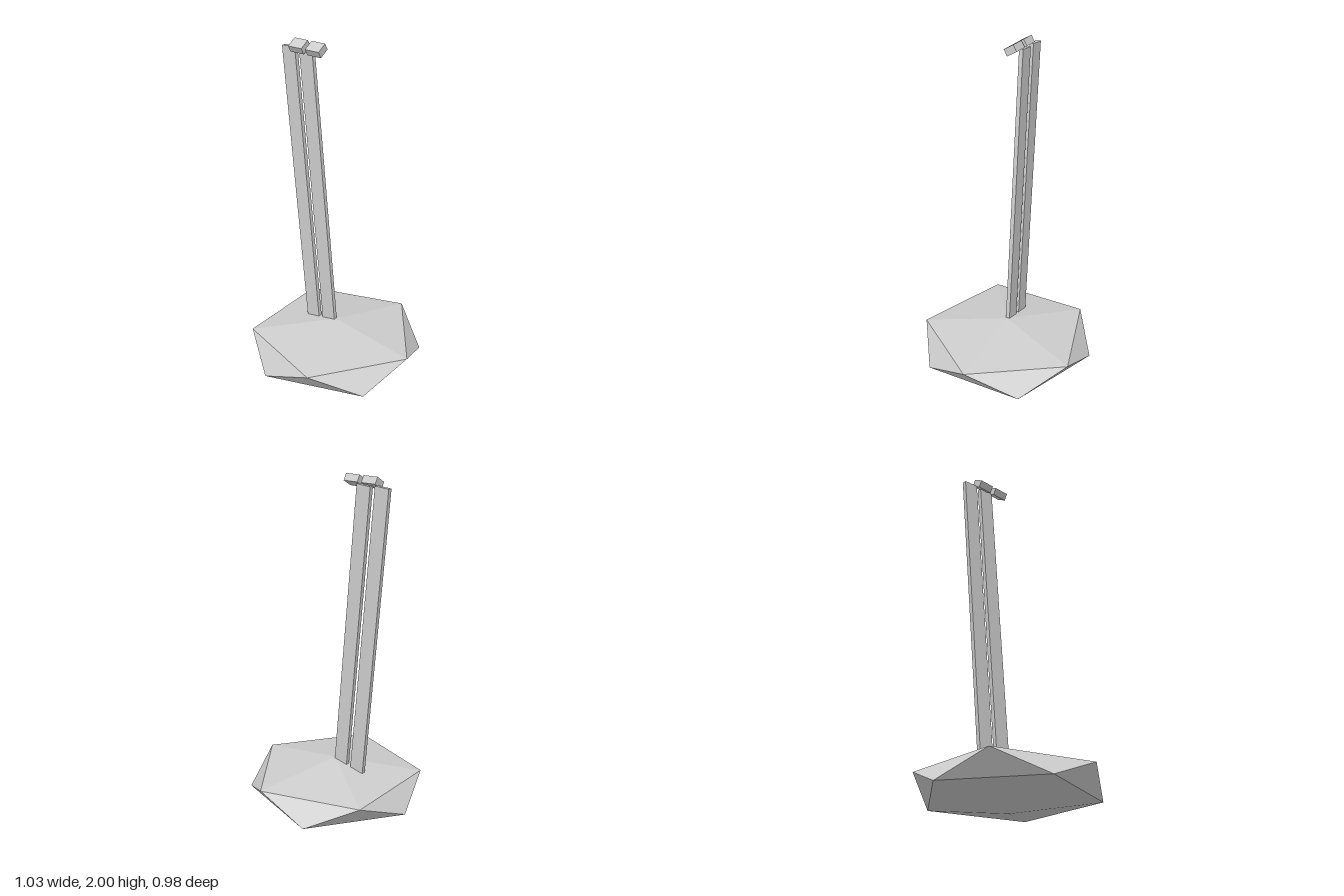
import * as THREE from 'three';
import { ConvexGeometry } from 'three/addons/geometries/ConvexGeometry.js';

export function createModel() {
  const model = new THREE.Group();
  const grey = new THREE.MeshStandardMaterial({ color: 0xcccccc });
  grey.name = 'pale grey';

  const add = (name, geometry, x, y, z) => {
    const mesh = new THREE.Mesh(geometry, grey);
    mesh.name = name;
    mesh.position.set(x, y, z);
    model.add(mesh);
    return mesh;
  };

  // Squashed faceted base: two poles and two staggered rings of five corners
  const radius = 0.517;
  const corners = [new THREE.Vector3(0, 0.29, 0), new THREE.Vector3(0, 0, 0)];
  for (let i = 0; i < 5; i++) {
    const a = (i * Math.PI * 2) / 5;
    const x = radius * Math.cos(a), z = radius * Math.sin(a);
    corners.push(new THREE.Vector3(x, 0.21, z), new THREE.Vector3(-x, 0.08, -z));
  }
  add('base', new ConvexGeometry(corners), 0, 0, 0);

  // Pair of flat leaning posts, placed by their top ends and sunk into the base
  const length = 1.75;
  const postGeometry = new THREE.BoxGeometry(0.09, length, 0.025).translate(0, -length / 2, 0);
  [['rightPost', -0.32], ['leftPost', -0.2]].forEach(([name, x]) => {
    add(name, postGeometry, x, 1.95, 0).rotation.z = 0.089;
  });

  // Small blocks tipped forward across the post tops
  const capGeometry = new THREE.BoxGeometry(0.092, 0.042, 0.068);
  [['rightCap', -0.235], ['leftCap', -0.118]].forEach(([name, x]) => {
    add(name, capGeometry, x, 1.965, 0.022).rotation.x = Math.PI / 6;
  });

  return model;
}
